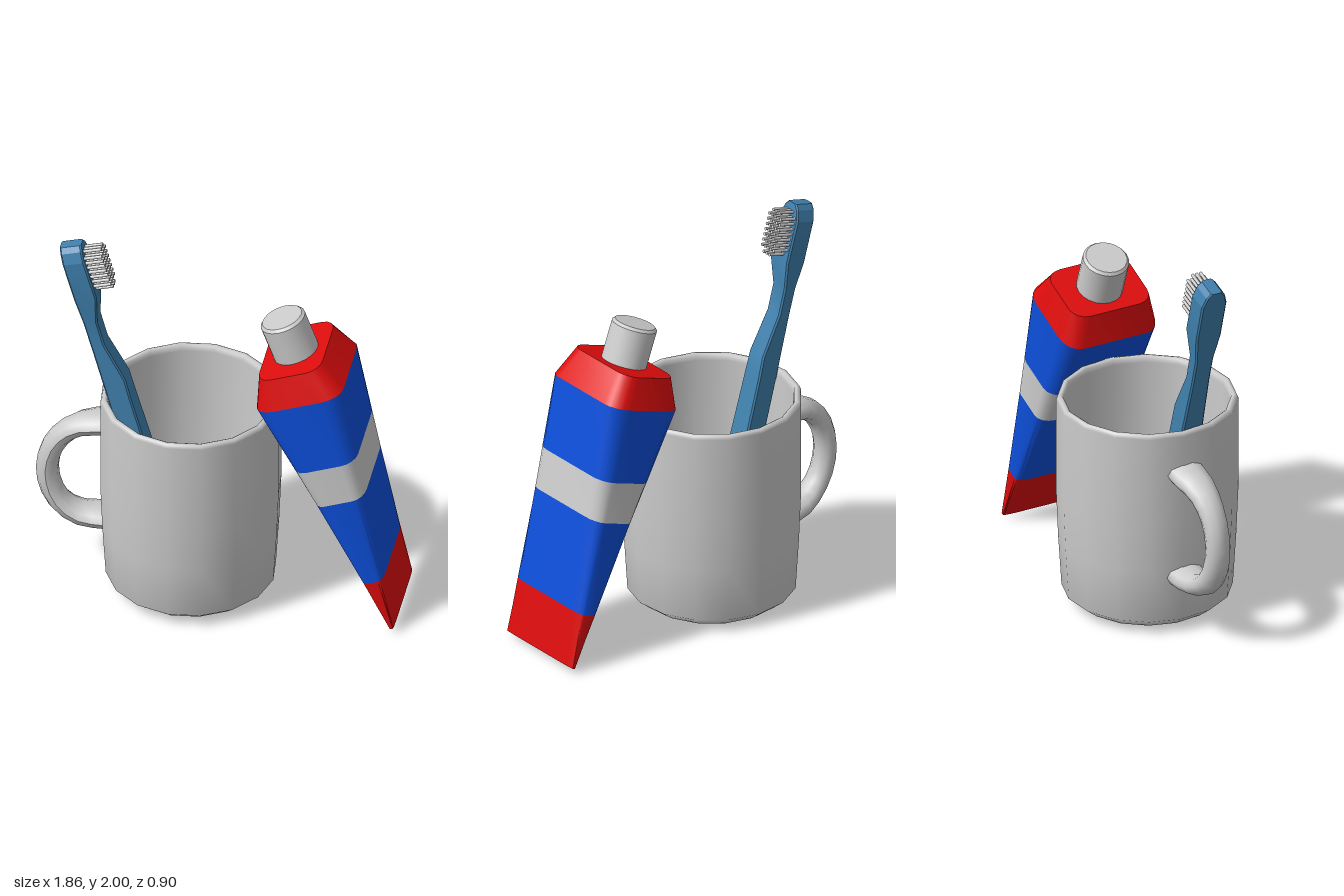
import * as THREE from 'three';
import { toCreasedNormals } from 'three/addons/utils/BufferGeometryUtils.js';

const grey = new THREE.MeshStandardMaterial({ color: 0xcccccc });
const red = new THREE.MeshStandardMaterial({ color: 0xdd0c0c });
const blue = new THREE.MeshStandardMaterial({ color: 0x0d4fdb });
const steel = new THREE.MeshStandardMaterial({ color: 0x3f80ad });

function add(parent, name, geometry, material) {
  const mesh = new THREE.Mesh(geometry, material);
  mesh.name = name;
  parent.add(mesh);
  return mesh;
}

// Rounded rectangle in the xz plane at height y
function ring(y, cx, hx, hz, rx, rz, steps) {
  const pts = [];
  for (let q = 0; q < 4; q++) {
    const sx = q < 2 ? 1 : -1, sz = q === 0 || q === 3 ? 1 : -1;
    for (let k = 0; k <= steps; k++) {
      const a = (q + k / steps) * Math.PI / 2;
      pts.push([cx + sx * (hx - rx) + rx * Math.sin(a), y, sz * (hz - rz) + rz * Math.cos(a)]);
    }
  }
  return pts;
}

// Skin over rings ordered from bottom to top, closed at both ends
function loft(rings, crease) {
  const n = rings[0].length, index = [];
  const verts = rings.flat();
  for (let r = 0; r < rings.length - 1; r++) {
    for (let i = 0; i < n; i++) {
      const a = r * n + i, b = r * n + (i + 1) % n;
      index.push(a, b, a + n, b, b + n, a + n);
    }
  }
  const top = (rings.length - 1) * n;
  for (let i = 1; i < n - 1; i++) {
    index.push(0, i + 1, i, top, top + i, top + i + 1);
  }
  const g = new THREE.BufferGeometry();
  g.setAttribute('position', new THREE.Float32BufferAttribute(verts.flat(), 3));
  g.setIndex(index);
  return toCreasedNormals(g, crease);
}

function lathe(profile, segments, start = 0) {
  return new THREE.LatheGeometry(profile.map(p => new THREE.Vector2(...p)), segments, start);
}

function createMug() {
  const mug = new THREE.Group();
  mug.name = 'mug';
  // Outer wall, rim and inner wall in one profile
  const body = add(mug, 'mugBody', lathe([
    [0, 0.004], [0.25, 0], [0.36, 0.018], [0.425, 0.07], [0.442, 0.35], [0.452, 0.6],
    [0.452, 1.1], [0.445, 1.118], [0.43, 1.122], [0.418, 1.115], [0.412, 1.09],
    [0.41, 0.2], [0.38, 0.1], [0.3, 0.07], [0, 0.06],
  ], 16, -0.09), grey);
  body.position.x = -0.15;

  // Handle, widening where it meets the wall
  const path = new THREE.CatmullRomCurve3([
    [-0.57, 0.89], [-0.73, 0.85], [-0.83, 0.75], [-0.873, 0.61],
    [-0.857, 0.475], [-0.8, 0.375], [-0.71, 0.32], [-0.57, 0.315],
  ].map(([x, y]) => new THREE.Vector3(x, y, 0)));
  const g = new THREE.TubeGeometry(path, 14, 0.057, 10);
  const p = g.attributes.position;
  for (let i = 0; i < p.count; i++) {
    const f = THREE.MathUtils.smoothstep(p.getX(i), -0.88, -0.58);
    p.setZ(i, p.getZ(i) * (1.1 + 0.65 * f) - 0.02 * f);
  }
  g.computeVertexNormals();
  add(mug, 'mugHandle', g, grey);
  return mug;
}

function createBrush() {
  const brush = new THREE.Group();
  brush.name = 'toothbrush';
  brush.position.set(-0.8, 1.97, 0.035);
  brush.rotation.z = 0.276;
  // Distance below the tip, thickness, half width
  const stations = [
    [1.965, 0.118, 0.075], [0.92, 0.118, 0.06], [0.81, 0.12, 0.056], [0.59, 0.071, 0.05],
    [0.45, 0.073, 0.05], [0.3, 0.116, 0.07], [0.08, 0.114, 0.07], [0.025, 0.113, 0.052], [0, 0.112, 0.03],
  ];
  add(brush, 'brushHandle', loft(stations.map(([t, s, w]) =>
    ring(-t, s / 2, s / 2, w, 0.008, 0.008, 1)), 0.3), steel);

  // Bristles in rows, corners left out
  const bristles = new THREE.Group();
  bristles.name = 'bristles';
  brush.add(bristles);
  const g = new THREE.CylinderGeometry(0.0085, 0.0085, 0.1, 8).rotateZ(Math.PI / 2);
  for (let r = 0; r < 9; r++) {
    for (let c = -2; c <= 2; c++) {
      if (r % 8 === 0 && Math.abs(c) === 2) continue;
      add(bristles, 'bristle', g, grey).position.set(0.156, -0.042 - r * 0.028, c * 0.0225);
    }
  }
  return brush;
}

function createTube() {
  const tube = new THREE.Group();
  tube.name = 'toothpasteTube';
  tube.position.set(0.915, 0.03, 0.027);
  tube.rotation.z = 0.351;
  // Height, half thickness, half width of each band edge
  const edges = [
    [0, 0.013, 0.258], [0.286, 0.06, 0.26], [0.777, 0.136, 0.262],
    [0.992, 0.17, 0.264], [1.379, 0.232, 0.265], [1.538, 0.17, 0.222],
  ];
  const bands = [['tubeEnd', red], ['lowerBand', blue], ['middleBand', grey], ['upperBand', blue], ['shoulder', red]];
  const section = ([y, hx, hz]) => ring(y, 0, hx, hz, hx * 0.45, 0.085, 4);
  bands.forEach(([name, material], i) =>
    add(tube, name, loft([section(edges[i]), section(edges[i + 1])], 0.6), material));

  // Cap with a small bevel
  add(tube, 'cap', toCreasedNormals(lathe(
    [[0, 1.5], [0.117, 1.5], [0.117, 1.732], [0.104, 1.746], [0, 1.746]], 20), 0.6), grey);
  return tube;
}

export function createModel() {
  const model = new THREE.Group();
  model.name = 'bathroomSet';
  model.add(createMug(), createBrush(), createTube());
  return model;
}
